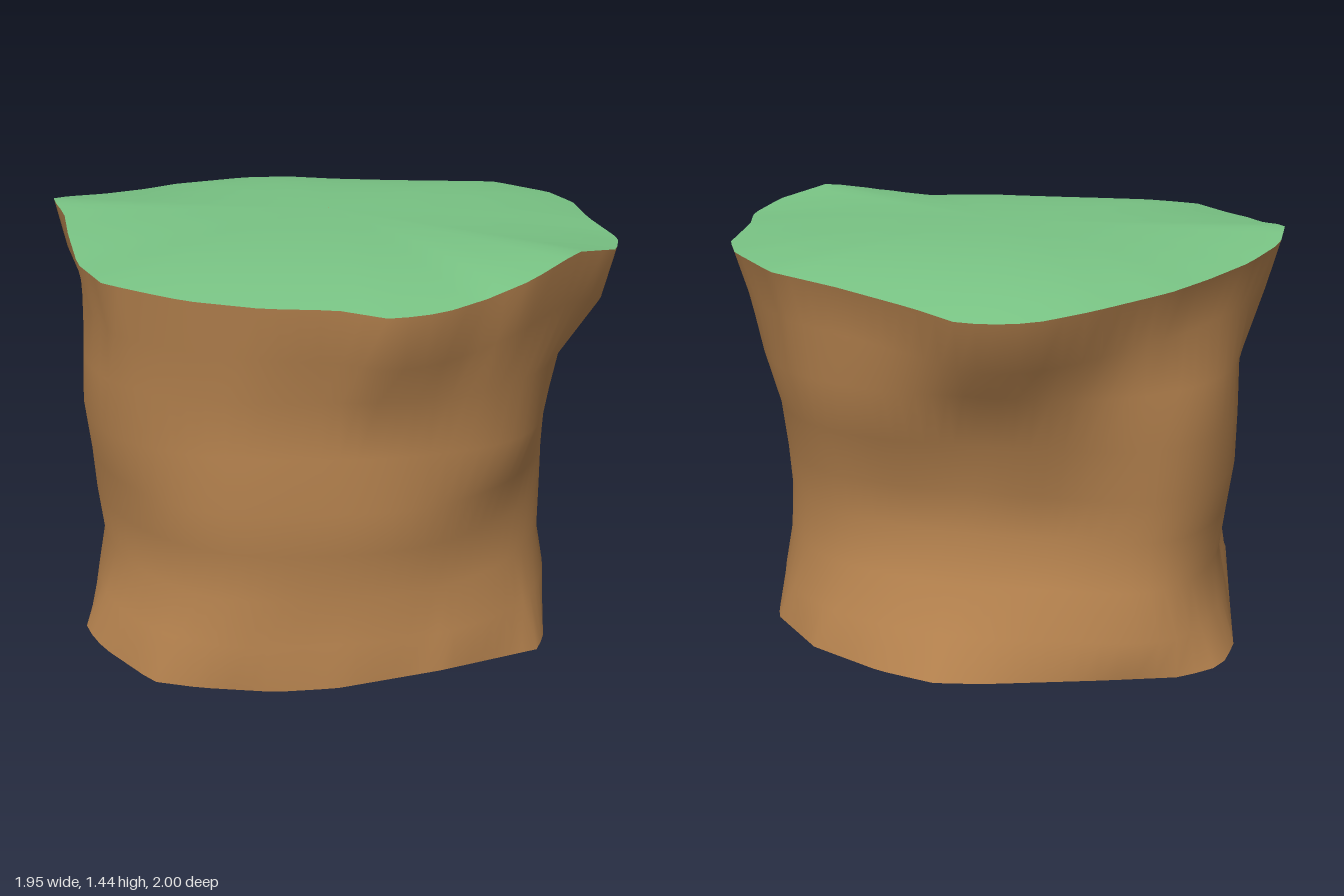
import * as THREE from 'three';

const SEG = 96;

// Rim outlines as [x, y, z], running from +x round through +z
const TOP = [
  [0.91, 1.39, -0.02], [0.975, 1.38, 0.23], [0.935, 1.40, 0.45], [0.79, 1.435, 0.62], [0.63, 1.39, 0.79],
  [0.49, 1.35, 0.86], [0.36, 1.335, 0.95], [0.21, 1.33, 1.0], [0.05, 1.34, 0.95], [-0.17, 1.34, 0.94],
  [-0.4, 1.35, 0.9], [-0.53, 1.36, 0.85], [-0.67, 1.365, 0.77], [-0.78, 1.37, 0.57], [-0.86, 1.40, 0.3],
  [-0.91, 1.42, 0.1], [-0.98, 1.44, -0.05], [-0.96, 1.41, -0.22], [-0.86, 1.38, -0.4], [-0.73, 1.36, -0.58],
  [-0.62, 1.35, -0.73], [-0.4, 1.33, -0.92], [-0.24, 1.31, -1], [-0.1, 1.3, -1], [0, 1.3, -0.98],
  [0.14, 1.32, -0.91], [0.4, 1.35, -0.8], [0.63, 1.37, -0.71], [0.82, 1.38, -0.48], [0.89, 1.38, -0.31],
];
const BASE = [
  [0.78, 0.02, 0], [0.79, 0, 0.2], [0.77, 0, 0.45], [0.74, 0.005, 0.56], [0.39, 0.05, 0.79],
  [0.05, 0.025, 0.87], [-0.15, 0.02, 0.89], [-0.4, 0.02, 0.87], [-0.56, 0.01, 0.82], [-0.76, 0.02, 0.62],
  [-0.84, 0.03, 0.5], [-0.855, 0.04, 0], [-0.87, 0.05, -0.44], [-0.83, 0.05, -0.6], [-0.7, 0.04, -0.68],
  [-0.45, 0.04, -0.74], [-0.07, 0.04, -0.82], [0.1, 0.04, -0.84], [0.3, 0.04, -0.78], [0.56, 0.04, -0.64],
  [0.75, 0.04, -0.42], [0.78, 0.03, -0.3],
];
// Trunk levels: height, then radii every 22.5 degrees from +x round through +z
const LEVELS = [
  [0.18, 0.77, 0.83, 0.87, 0.86, 0.865, 0.94, 0.94, 0.88, 0.82, 0.89, 0.96, 0.82, 0.77, 0.78, 0.81, 0.81],
  [0.33, 0.74, 0.80, 0.82, 0.83, 0.84, 0.90, 0.88, 0.85, 0.79, 0.86, 0.90, 0.75, 0.69, 0.70, 0.75, 0.78],
  [0.50, 0.74, 0.80, 0.82, 0.85, 0.865, 0.91, 0.90, 0.87, 0.81, 0.88, 0.90, 0.71, 0.655, 0.67, 0.74, 0.77],
  [0.65, 0.745, 0.80, 0.85, 0.88, 0.88, 0.94, 0.92, 0.88, 0.83, 0.90, 0.92, 0.74, 0.67, 0.69, 0.76, 0.78],
  [0.83, 0.75, 0.81, 0.91, 0.88, 0.865, 0.92, 0.96, 0.90, 0.84, 0.90, 0.93, 0.80, 0.73, 0.76, 0.81, 0.80],
  [1.02, 0.79, 0.85, 0.90, 0.90, 0.87, 0.93, 0.96, 0.89, 0.83, 0.90, 0.93, 0.87, 0.81, 0.84, 0.87, 0.85],
];

const TAU = Math.PI * 2;
const wrap = (a) => ((a % TAU) + TAU) % TAU;

// Sample an outline at equal angles, along its straight edges
function outlineRing(points) {
  const list = points
    .map(([x, y, z]) => ({ x, y, z, a: wrap(Math.atan2(z, x)) }))
    .sort((p, q) => p.a - q.a);
  return Array.from({ length: SEG }, (_, i) => {
    const a = (i / SEG) * TAU, c = Math.cos(a), s = Math.sin(a);
    const k = list.findIndex((p) => p.a > a);
    const q = list[Math.max(k, 0)], p = list.at(k > 0 ? k - 1 : -1);
    const t = (p.x * s - p.z * c) / ((q.z - p.z) * c - (q.x - p.x) * s);
    return [p.x + (q.x - p.x) * t, p.y + (q.y - p.y) * t, p.z + (q.z - p.z) * t];
  });
}

// Smooth closed ring through evenly spaced radii
function levelRing([y, ...radii]) {
  const count = radii.length;
  const at = (k) => radii[(k + count) % count];
  return Array.from({ length: SEG }, (_, i) => {
    const a = (i / SEG) * TAU;
    const u = (i / SEG) * count, k = Math.floor(u), t = u - k;
    const m0 = (at(k + 1) - at(k - 1)) / 2, m1 = (at(k + 2) - at(k)) / 2;
    const d = at(k + 1) - at(k);
    const r = at(k) + m0 * t + (3 * d - 2 * m0 - m1) * t * t + (m0 + m1 - 2 * d) * t * t * t;
    return [r * Math.cos(a), y, r * Math.sin(a)];
  });
}

// Skin a stack of rings, each one above or inside the last
function loft(rings) {
  const index = [];
  for (let j = 0; j < rings.length - 1; j++) {
    for (let i = 0; i < SEG; i++) {
      const n = (i + 1) % SEG;
      const a = j * SEG + i, b = j * SEG + n, c = a + SEG, d = b + SEG;
      index.push(a, c, b, b, c, d);
    }
  }
  const geometry = new THREE.BufferGeometry();
  geometry.setAttribute('position', new THREE.Float32BufferAttribute(rings.flat(2), 3));
  geometry.setIndex(index);
  geometry.computeVertexNormals();
  return geometry;
}

function part(name, geometry, color) {
  const mesh = new THREE.Mesh(geometry, new THREE.MeshStandardMaterial({ color, side: THREE.DoubleSide }));
  mesh.name = name;
  return mesh;
}

export function createModel() {
  const group = new THREE.Group();
  group.name = 'grassyPillar';
  const rim = outlineRing(TOP);

  // Earth wall, open underneath, with a lip that follows the rim
  const lip = rim.map(([x, y, z]) => [x * 0.955, y - 0.17, z * 0.955 + 0.02]);
  group.add(part('earthWall', loft([outlineRing(BASE), ...LEVELS.map(levelRing), lip, rim]), 0xb5824e));

  // Grass: rings shrinking from the rim up to a gentle mound
  const grass = [1, 0.9, 0.78, 0.64, 0.48, 0.32, 0.16, 0.002].map((s) =>
    rim.map(([x, y, z]) => [x * s, THREE.MathUtils.lerp(1.425, y, s ** 3), z * s]));
  group.add(part('grassTop', loft(grass), 0x78c283));

  return group;
}
